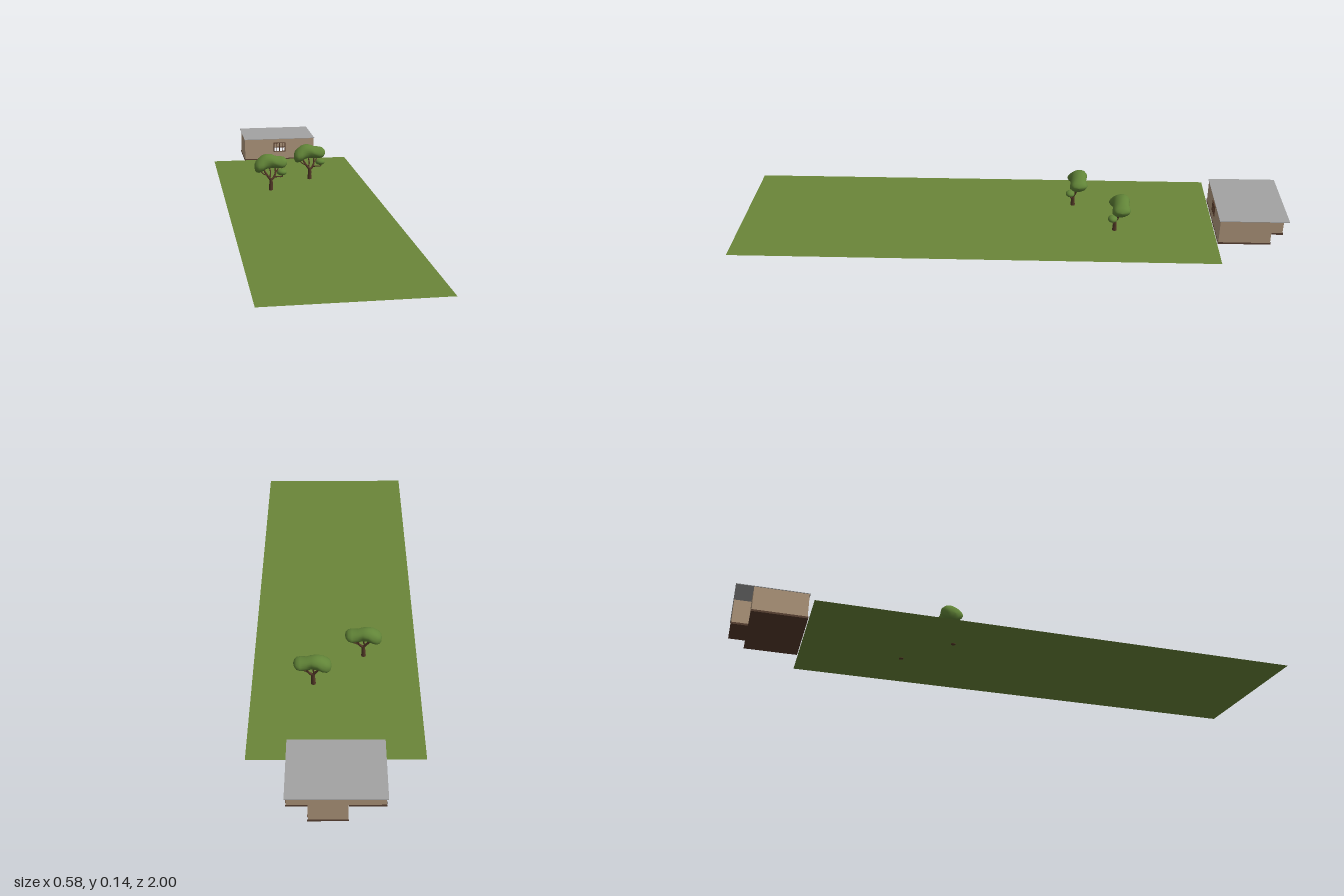
import * as THREE from 'three';

const mat = (name, color, double = false) => {
  const m = new THREE.MeshStandardMaterial({ color });
  m.name = name;
  if (double) m.side = THREE.DoubleSide;
  return m;
};

export function createModel() {
  const grass = mat('grass green', 0x6b8639, true);
  const wallPaint = mat('wall tan', 0xb89e82, true);
  const roofGrey = mat('roof grey', 0xa3a3a3);
  const darkWood = mat('dark wood', 0x573c2c);
  const skirtWood = mat('skirting brown', 0x5f4637, true);
  const bark = mat('bark brown', 0x553a28);
  const leaf = mat('leaf green', 0x628538);

  const model = new THREE.Group();
  const add = (parent, name, geo, material, x = 0, y = 0, z = 0) => {
    const m = new THREE.Mesh(geo, material);
    m.name = name;
    m.position.set(x, y, z);
    parent.add(m);
    return m;
  };

  // Lawn
  add(model, 'lawn', new THREE.PlaneGeometry(0.58, 1.75).rotateX(-Math.PI / 2), grass, 0, 0.003, 0.125);

  // House: plan outline [x, z] with a central bay at the back, first side is the front
  const house = new THREE.Group();
  house.name = 'house';
  model.add(house);
  const plan = (e) => [
    [-0.153 - e, -0.755 + e], [0.153 + e, -0.755 + e], [0.153 + e, -0.94 - e], [0.085 + e, -0.94 - e],
    [0.085 + e, -0.998 - e], [-0.036 - e, -0.998 - e], [-0.036 - e, -0.94 - e], [-0.153 - e, -0.94 - e],
  ];
  const hole = { x0: -0.025, x1: 0.024, y0: 0.038, y1: 0.076 };
  const wallLoop = (name, pts, y0, y1, material, window) => {
    pts.forEach(([ax, az], i) => {
      const [bx, bz] = pts[(i + 1) % pts.length];
      const len = Math.hypot(bx - ax, bz - az);
      const shape = new THREE.Shape();
      shape.moveTo(0, y0).lineTo(len, y0).lineTo(len, y1).lineTo(0, y1).closePath();
      if (window && i === 0) {
        const p = new THREE.Path();
        p.moveTo(hole.x0 - ax, hole.y0).lineTo(hole.x0 - ax, hole.y1)
          .lineTo(hole.x1 - ax, hole.y1).lineTo(hole.x1 - ax, hole.y0).closePath();
        shape.holes.push(p);
      }
      const m = add(house, name, new THREE.ShapeGeometry(shape), material, ax, 0, az);
      m.rotation.y = Math.atan2(-(bz - az), bx - ax);
    });
  };
  wallLoop('wall', plan(0), 0.001, 0.093, wallPaint, true);
  wallLoop('skirting', plan(0.002), 0, 0.007, skirtWood, false);
  // Floor, facing down
  const floorShape = new THREE.Shape(plan(0.002).map(([x, z]) => new THREE.Vector2(x, z)));
  add(house, 'floor', new THREE.ShapeGeometry(floorShape).rotateX(Math.PI / 2), darkWood);
  // Flat roof
  add(house, 'roof', new THREE.BoxGeometry(0.31, 0.002, 0.248), roofGrey, 0, 0.094, -0.876);

  // Window frame and glazing bars
  const cx = (hole.x0 + hole.x1) / 2, cy = (hole.y0 + hole.y1) / 2;
  const w = hole.x1 - hole.x0, h = hole.y1 - hole.y0;
  for (const [dx, t] of [[-w / 2, 0.003], [-w / 4, 0.0015], [0, 0.003], [w / 4, 0.0015], [w / 2, 0.003]])
    add(house, 'windowUpright', new THREE.BoxGeometry(t, h, 0.004), darkWood, cx + dx, cy, -0.754);
  for (const dy of [-h / 2, 0, h / 2])
    add(house, 'windowRail', new THREE.BoxGeometry(w + 0.003, 0.0025, 0.004), darkWood, cx, cy + dy, -0.754);

  // Tapered limb along a smooth path
  const limb = (pts, r0, r1) => {
    const curve = new THREE.CatmullRomCurve3(pts.map((p) => new THREE.Vector3(...p)));
    const seg = 10, sides = 8;
    const geo = new THREE.TubeGeometry(curve, seg, 1, sides);
    const pos = geo.attributes.position, v = new THREE.Vector3();
    for (let i = 0; i < pos.count; i++) {
      const t = Math.floor(i / (sides + 1)) / seg;
      const c = curve.getPointAt(t);
      v.fromBufferAttribute(pos, i).sub(c).multiplyScalar(r0 + (r1 - r0) * t).add(c);
      pos.setXYZ(i, v.x, v.y, v.z);
    }
    return geo;
  };
  const limbs = [
    ['trunk', [[0, 0, 0], [0, 0.02, 0], [0.001, 0.035, 0], [-0.001, 0.05, 0]], 0.0085, 0.0055],
    ['leftBranch', [[-0.001, 0.044, 0], [-0.013, 0.06, -0.003], [-0.024, 0.078, -0.008], [-0.03, 0.1, -0.014]], 0.005, 0.0025],
    ['leftTwig', [[-0.014, 0.061, -0.003], [-0.03, 0.069, 0], [-0.042, 0.082, -0.004]], 0.0028, 0.0015],
    ['middleBranch', [[-0.004, 0.05, 0], [0.0, 0.07, -0.008], [-0.006, 0.1, -0.017]], 0.003, 0.002],
    ['rightBranch', [[0.001, 0.042, 0], [0.013, 0.053, -0.004], [0.02, 0.07, -0.01], [0.017, 0.1, -0.018]], 0.005, 0.0025],
    ['rightTwig', [[0.02, 0.068, -0.01], [0.029, 0.08, -0.014], [0.036, 0.1, -0.018]], 0.0025, 0.0015],
    ['lowBranch', [[0.012, 0.053, -0.003], [0.028, 0.056, 0.004], [0.044, 0.057, 0.01], [0.046, 0.07, 0.013]], 0.003, 0.0015],
  ].map(([name, pts, a, b]) => [name, limb(pts, a, b)]);

  // Canopy: rounded cross-sections [x, bottom, top, half depth, z centre]
  const sections = [
    [-0.063, 0.092, 0.096, 0.002, -0.013], [-0.061, 0.08, 0.107, 0.016, -0.013],
    [-0.056, 0.073, 0.117, 0.026, -0.014], [-0.046, 0.072, 0.126, 0.033, -0.015],
    [-0.031, 0.077, 0.137, 0.034, -0.017], [-0.015, 0.086, 0.142, 0.031, -0.018],
    [0.005, 0.088, 0.141, 0.028, -0.018], [0.022, 0.087, 0.133, 0.029, -0.018],
    [0.043, 0.086, 0.131, 0.033, -0.018], [0.056, 0.09, 0.128, 0.029, -0.018],
    [0.064, 0.1, 0.12, 0.018, -0.017], [0.067, 0.109, 0.112, 0.002, -0.017],
  ];
  const loft = () => {
    const n = 20, pos = [], idx = [];
    const rings = sections.map(([x, b, t, d, z]) => ({ x, z, d, y: (b + t) / 2, r: (t - b) / 2 }));
    for (const s of rings)
      for (let j = 0; j < n; j++) {
        const a = (j / n) * Math.PI * 2;
        const y = s.y + s.r * Math.sin(a);
        const lump = 1 + 0.05 * Math.sin(3 * a + s.x * 90);
        pos.push(s.x, y, s.z + s.d * lump * Math.cos(a) - 0.2 * (y - 0.107));
      }
    for (let i = 0; i < rings.length - 1; i++)
      for (let j = 0; j < n; j++) {
        const k = (j + 1) % n, a = i * n + j, b = i * n + k;
        idx.push(a, a + n, b, b, a + n, b + n);
      }
    // End caps
    const last = (rings.length - 1) * n;
    for (let j = 1; j < n - 1; j++) idx.push(0, j, j + 1, last, last + j + 1, last + j);
    // Corners run so that faces point outward
    for (let i = 0; i < idx.length; i += 3) {
      const [p, q, r] = [0, 1, 2].map((k) => new THREE.Vector3().fromArray(pos, idx[i + k] * 3));
      const nrm = q.clone().sub(p).cross(r.clone().sub(p));
      const s = rings[Math.floor(idx[i] / n)];
      const out = p.add(q).add(r).divideScalar(3).sub(new THREE.Vector3(s.x * 0.5, s.y, s.z));
      if (nrm.dot(out) < 0) [idx[i + 1], idx[i + 2]] = [idx[i + 2], idx[i + 1]];
    }
    const g = new THREE.BufferGeometry();
    g.setAttribute('position', new THREE.Float32BufferAttribute(pos, 3));
    g.setIndex(idx);
    g.computeVertexNormals();
    return g;
  };
  const canopy = loft();
  const clump = new THREE.SphereGeometry(1, 16, 12).scale(0.019, 0.012, 0.017);

  // Two matching trees
  for (const [x, z] of [[-0.1, -0.235], [0.077, -0.385]]) {
    const tree = new THREE.Group();
    tree.name = 'tree';
    tree.position.set(x, 0.001, z);
    limbs.forEach(([name, geo]) => add(tree, name, geo, bark));
    add(tree, 'trunkBase', new THREE.CircleGeometry(0.0085, 8).rotateX(Math.PI / 2), bark);
    add(tree, 'canopy', canopy, leaf);
    add(tree, 'lowClump', clump, leaf, 0.042, 0.075, 0.012);
    model.add(tree);
  }
  return model;
}
